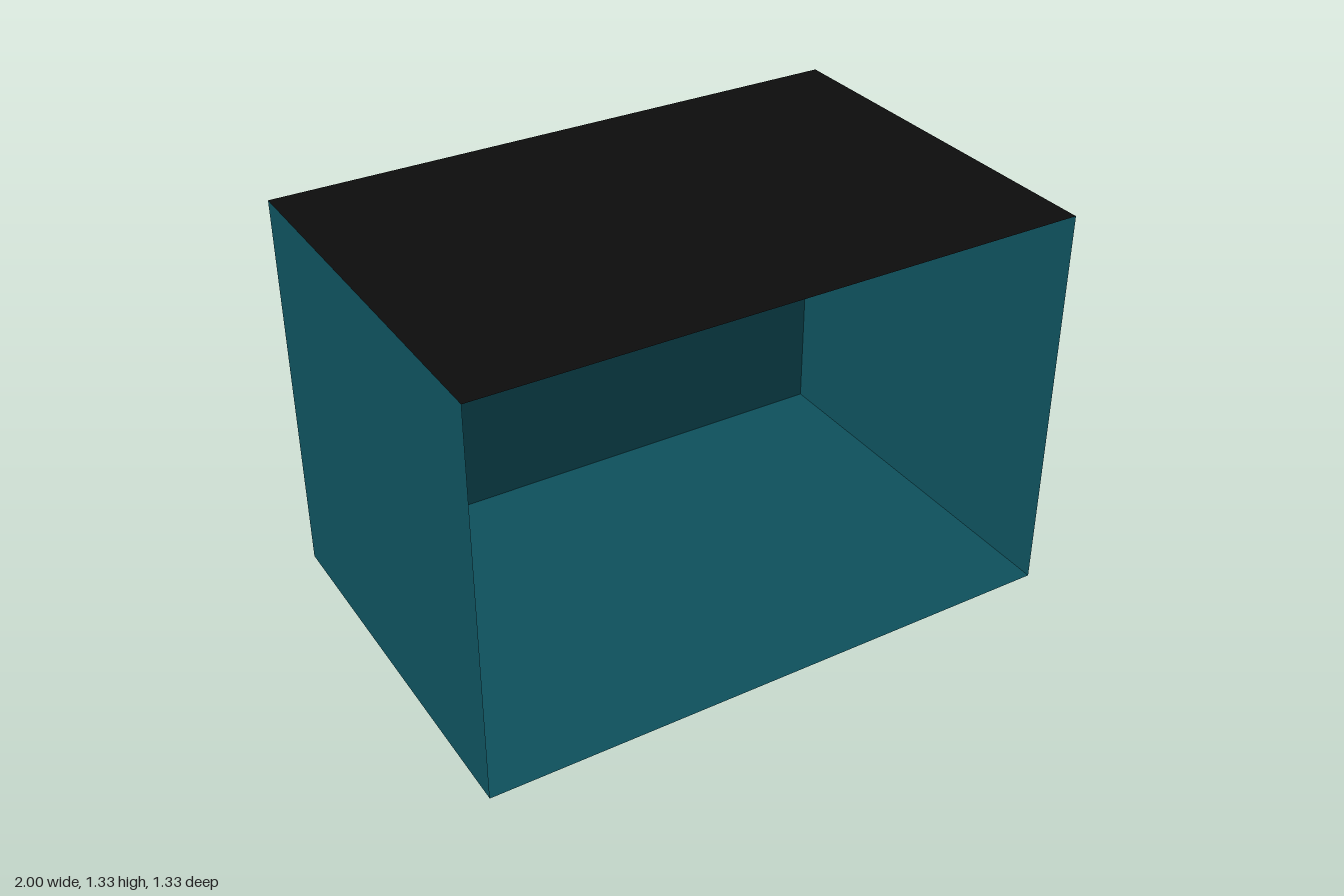
import * as THREE from 'three';

export function createModel() {
  const W = 2, H = 4 / 3, D = 4 / 3;
  const teal = new THREE.MeshStandardMaterial({ color: 0x0e505c, side: THREE.DoubleSide });
  const black = new THREE.MeshStandardMaterial({ color: 0x0d0d0d, side: THREE.DoubleSide });
  const room = new THREE.Group();
  room.name = 'room';

  function addPanel(name, geometry, material, position, rotation = [0, 0, 0]) {
    const mesh = new THREE.Mesh(geometry, material);
    mesh.name = name;
    mesh.position.set(...position);
    mesh.rotation.set(...rotation);
    room.add(mesh);
  }

  // Rectangle outline from two opposite corners
  const rectangle = (PathType, x0, y0, x1, y1) => new PathType([
    new THREE.Vector2(x0, y0), new THREE.Vector2(x1, y0),
    new THREE.Vector2(x1, y1), new THREE.Vector2(x0, y1),
  ]);

  // Floor and roof
  addPanel('floor', new THREE.PlaneGeometry(W, D), teal, [0, 0, 0], [-Math.PI / 2, 0, 0]);
  addPanel('roof', new THREE.PlaneGeometry(W, D), black, [0, H, 0], [-Math.PI / 2, 0, 0]);

  // Side walls
  for (const [name, side] of [['leftWall', 1], ['rightWall', -1]]) {
    addPanel(name, new THREE.PlaneGeometry(D, H), teal, [side * W / 2, H / 2, 0], [0, side * Math.PI / 2, 0]);
  }

  // Back wall with a window opening; the front stays open
  const wall = rectangle(THREE.Shape, -W / 2, 0, W / 2, H);
  wall.holes.push(rectangle(THREE.Path, 0.25, 0.55, 0.625, 0.865));
  addPanel('backWall', new THREE.ShapeGeometry(wall), teal, [0, 0, -D / 2]);

  return room;
}
